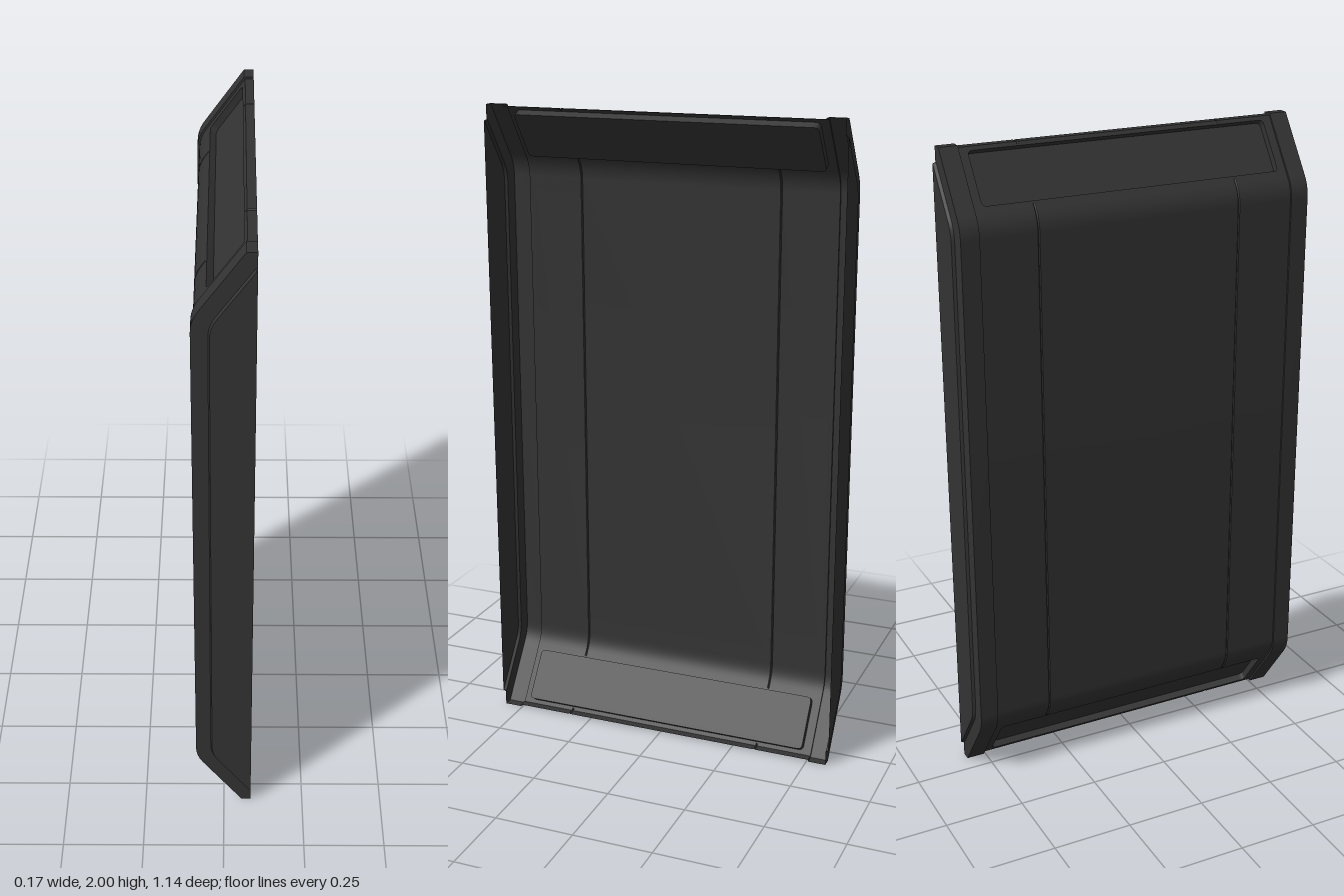
import * as THREE from 'three';
import { toCreasedNormals } from 'three/addons/utils/BufferGeometryUtils.js';

const material = new THREE.MeshStandardMaterial({ color: 0x333333, side: THREE.DoubleSide });
const OPEN_X = 0.085; // open side of the tray
const SHELL_INSET = 0.006; // middle of the shell sits below the rims

// Corner between back and slope, and top end of the slope, for a profile inset by d
function slopeEnds(d) {
  const x = -0.087 + d;
  return [
    new THREE.Vector2(x, 2 + (x - 0.056) * 1.397 - d * 1.718),
    new THREE.Vector2(0.056 + 0.514 * d, 2 - d),
  ];
}

// Trapezoid profile in x-y, from the top lip around the back to the bottom lip
function profile(d) {
  const [corner, top] = slopeEnds(d);
  const on = (t) => corner.clone().lerp(top, t);
  const round = new THREE.QuadraticBezierCurve(
    on(0.15), corner, new THREE.Vector2(corner.x, corner.y - 0.036));
  const half = [new THREE.Vector2(OPEN_X, 2 - d), top, on(0.97), on(0.22), ...round.getPoints(6)];
  const mirrored = half.map((p) => new THREE.Vector2(p.x, 2 - p.y)).reverse();
  return [...half, ...mirrored];
}

// Surface through rows of points; skip(row, column) leaves openings
function loft(rows, skip = () => false, crease = 0.5) {
  const pos = [];
  for (let i = 0; i < rows.length - 1; i++) {
    for (let j = 0; j < rows[i].length - 1; j++) {
      if (skip(i, j)) continue;
      const a = rows[i][j], b = rows[i + 1][j], c = rows[i + 1][j + 1], e = rows[i][j + 1];
      for (const p of [a, b, c, a, c, e]) pos.push(p.x, p.y, p.z);
    }
  }
  const g = new THREE.BufferGeometry();
  g.setAttribute('position', new THREE.Float32BufferAttribute(pos, 3));
  g.computeVertexNormals();
  return toCreasedNormals(g, crease);
}

function add(parent, geometry, name) {
  const mesh = new THREE.Mesh(geometry, material);
  mesh.name = name;
  parent.add(mesh);
  return mesh;
}

function roundedRect(w, h, r) {
  const s = new THREE.Shape();
  const x = w / 2, y = h / 2;
  s.moveTo(-x + r, -y);
  s.lineTo(x - r, -y).quadraticCurveTo(x, -y, x, -y + r);
  s.lineTo(x, y - r).quadraticCurveTo(x, y, x - r, y);
  s.lineTo(-x + r, y).quadraticCurveTo(-x, y, -x, y - r);
  s.lineTo(-x, -y + r).quadraticCurveTo(-x, -y, -x + r, -y);
  return s;
}

// Sunken panel of the upper slope: frame, walls and floor
function recess() {
  const group = new THREE.Group();
  const [corner, top] = slopeEnds(SHELL_INSET);
  const length = corner.distanceTo(top), depth = 0.022;
  const w = 0.956, h = length * 0.695;

  const frame = new THREE.Shape();
  const y0 = length * 0.22, y1 = length * 0.97, mid = length * 0.5975;
  frame.moveTo(-0.49, y0 - mid).lineTo(0.49, y0 - mid).lineTo(0.49, y1 - mid).lineTo(-0.49, y1 - mid);
  const hole = roundedRect(w, h, 0.015);
  frame.holes.push(hole);
  add(group, new THREE.ShapeGeometry(frame, 4), 'recessFrame');
  add(group, new THREE.ShapeGeometry(hole, 4), 'recessFloor').position.z = -depth;
  const edge = hole.getPoints(4);
  const ring = (z) => edge.map((p) => new THREE.Vector3(p.x, p.y, z));
  add(group, loft([ring(-depth), ring(0)]), 'recessWalls');

  // Lay the panel on the slope
  const up = new THREE.Vector3(top.x - corner.x, top.y - corner.y, 0).normalize();
  const across = new THREE.Vector3(0, 0, 1);
  const out = across.clone().cross(up);
  const centre = corner.clone().lerp(top, 0.5975);
  group.applyMatrix4(new THREE.Matrix4().makeBasis(across, up, out).setPosition(centre.x, centre.y, 0));
  return group;
}

export function createModel() {
  const model = new THREE.Group();
  model.name = 'tray';

  // Shell cross-section [z, inset]: plate step, side wall, rim, sunken middle, grooves
  const half = [
    [0.571, 0.05], [0.562, 0.046], [0.562, 0], [0.505, 0], [0.505, SHELL_INSET],
    [0.49, SHELL_INSET], [0.328, SHELL_INSET], [0.325, 0.009], [0.322, SHELL_INSET],
  ];
  const section = [...half, ...half.map(([z, d]) => [-z, d]).reverse()];
  const rows = section.map(([z, d]) => profile(d).map((p) => new THREE.Vector3(p.x, p.y, z)));
  const lastColumn = rows[0].length - 1;
  const inPanel = (i, j) =>
    i >= 5 && i < section.length - 6 && (j === 2 || j === lastColumn - 3);
  add(model, loft(rows, inPanel), 'shell');

  // Raised plates closing both ends
  for (const side of [1, -1]) {
    const plate = add(model, new THREE.ShapeGeometry(new THREE.Shape(profile(0.05))),
      side > 0 ? 'frontPlate' : 'backPlate');
    plate.position.z = 0.571 * side;
    plate.scale.z = side;
  }

  // Recessed panels on the upper and lower slopes
  const upper = recess();
  upper.name = 'upperRecess';
  const lower = new THREE.Group();
  lower.name = 'lowerRecess';
  lower.add(recess());
  lower.scale.y = -1;
  lower.position.y = 2;
  model.add(upper, lower);
  return model;
}
